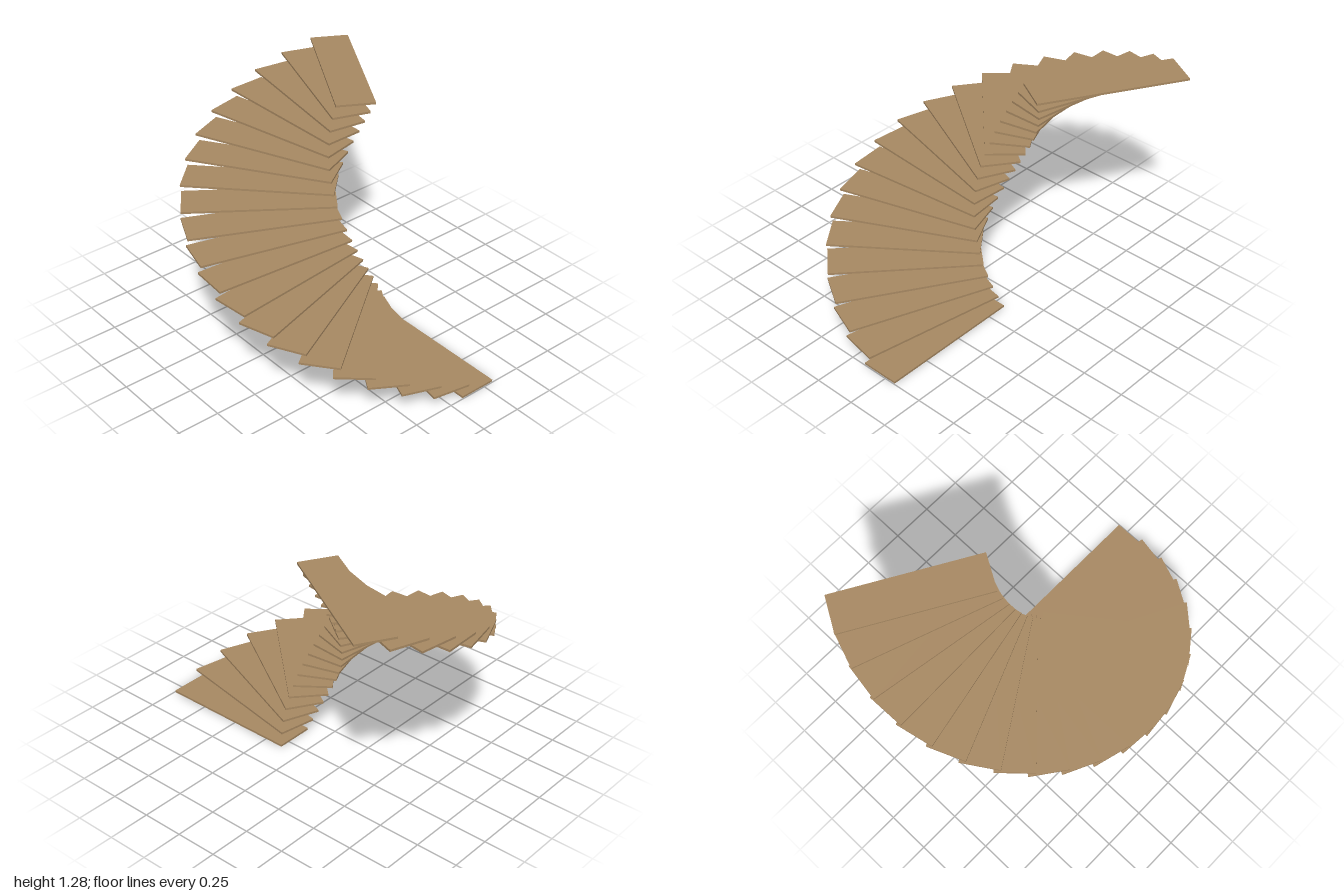
import * as THREE from 'three';

const STEPS = 21;
const TURN = THREE.MathUtils.degToRad(10.5); // rotation per step
const RISE = 0.0634;                         // height per step
const INNER = 0.13, OUTER = 0.995;           // radial reach of a tread
const WIDTH = 0.225, THICK = 0.0125;

export function createModel() {
  const model = new THREE.Group();
  model.name = 'spiralStaircase';

  const wood = new THREE.MeshStandardMaterial({ color: 0xa98a63 });

  // Rectangular tread, offset so it pivots about the stair axis
  const tread = new THREE.BoxGeometry(OUTER - INNER, THICK, WIDTH);
  tread.translate((INNER + OUTER) / 2, THICK / 2, 0);

  // Treads climbing around the open centre
  for (let i = 0; i < STEPS; i++) {
    const step = new THREE.Mesh(tread, wood);
    step.name = `step${i + 1}`;
    step.position.set(0, i * RISE, -0.203);
    step.rotation.y = -i * TURN;
    model.add(step);
  }
  return model;
}
